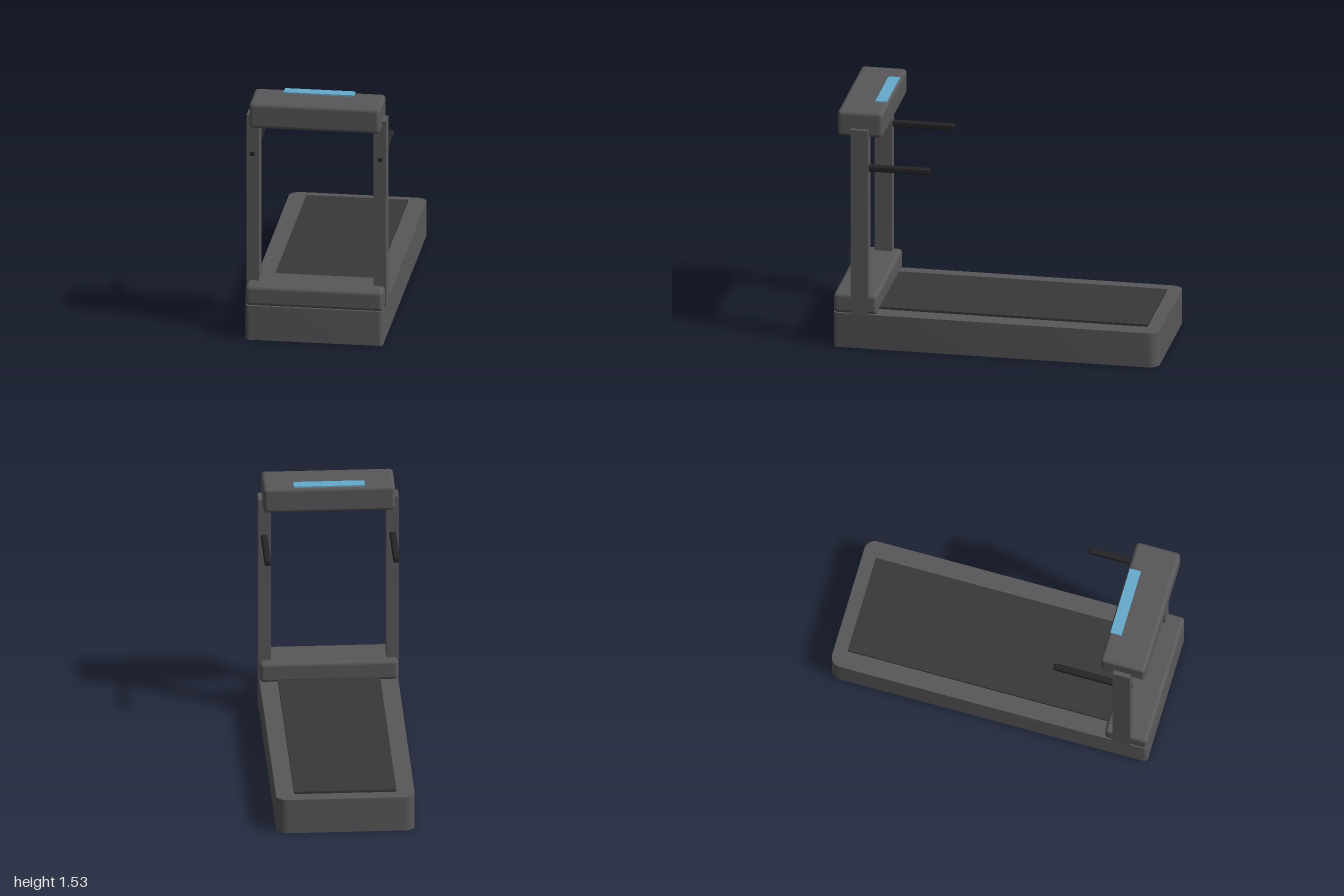
import * as THREE from 'three';
import { toCreasedNormals } from 'three/addons/utils/BufferGeometryUtils.js';
import { RoundedBoxGeometry } from 'three/addons/geometries/RoundedBoxGeometry.js';

const frameGrey = new THREE.MeshStandardMaterial({ name: 'frameGrey', color: 0x58585a });
const beltGrey = new THREE.MeshStandardMaterial({ name: 'beltGrey', color: 0x383838 });
const gripBlack = new THREE.MeshStandardMaterial({ name: 'gripBlack', color: 0x252527 });
const screenBlue = new THREE.MeshStandardMaterial({ name: 'screenBlue', color: 0x66aacc });

// Box spanning [min, max] on each axis, with rounded edges when radius > 0
function box(name, material, [x0, x1], [y0, y1], [z0, z1], radius = 0) {
  const size = [x1 - x0, y1 - y0, z1 - z0];
  const geometry = radius
    ? new RoundedBoxGeometry(...size, 4, radius)
    : new THREE.BoxGeometry(...size);
  const mesh = new THREE.Mesh(geometry, material);
  mesh.name = name;
  mesh.position.set((x0 + x1) / 2, (y0 + y1) / 2, (z0 + z1) / 2);
  return mesh;
}

// Deck slab: rounded in plan, with larger corners at the back
function deck() {
  const w = 0.42, l = 1, back = 0.065, front = 0.025;
  const s = new THREE.Shape();
  s.moveTo(-w + front, -l);
  s.lineTo(w - front, -l);
  s.absarc(w - front, -l + front, front, -Math.PI / 2, 0);
  s.lineTo(w, l - back);
  s.absarc(w - back, l - back, back, 0, Math.PI / 2);
  s.lineTo(-w + back, l);
  s.absarc(-w + back, l - back, back, Math.PI / 2, Math.PI);
  s.lineTo(-w, -l + front);
  s.absarc(-w + front, -l + front, front, Math.PI, Math.PI * 1.5);
  const geometry = new THREE.ExtrudeGeometry(s, { depth: 0.22, bevelEnabled: false, curveSegments: 8 });
  geometry.rotateX(-Math.PI / 2);
  const mesh = new THREE.Mesh(toCreasedNormals(geometry, 0.6), frameGrey);
  mesh.name = 'deck';
  return mesh;
}

export function createModel() {
  const model = new THREE.Group();
  model.name = 'treadmill';

  // Deck, running belt and motor hood
  model.add(deck());
  model.add(box('runningBelt', beltGrey, [-0.31, 0.31], [0.21, 0.235], [-0.915, 0.8]));
  model.add(box('motorHood', frameGrey, [-0.42, 0.42], [0.218, 0.346], [0.732, 1], 0.025));

  // Uprights and handlebars, one pair per side
  for (const [side, s] of [['left', 1], ['right', -1]]) {
    const span = (a, b) => (s > 0 ? [a, b] : [-b, -a]);
    model.add(box(side + 'Upright', frameGrey, span(0.35, 0.426), [0.215, 1.41], [0.785, 0.893]));
    model.add(box(side + 'Handlebar', gripBlack, span(0.37, 0.41), [1.14, 1.18], [0.405, 0.8945], 0.012));
  }

  // Console and its screen
  model.add(box('console', frameGrey, [-0.4, 0.4], [1.355, 1.518], [0.7, 0.98], 0.025));
  model.add(box('screen', screenBlue, [-0.215, 0.215], [1.518, 1.527], [0.71, 0.78]));

  return model;
}
